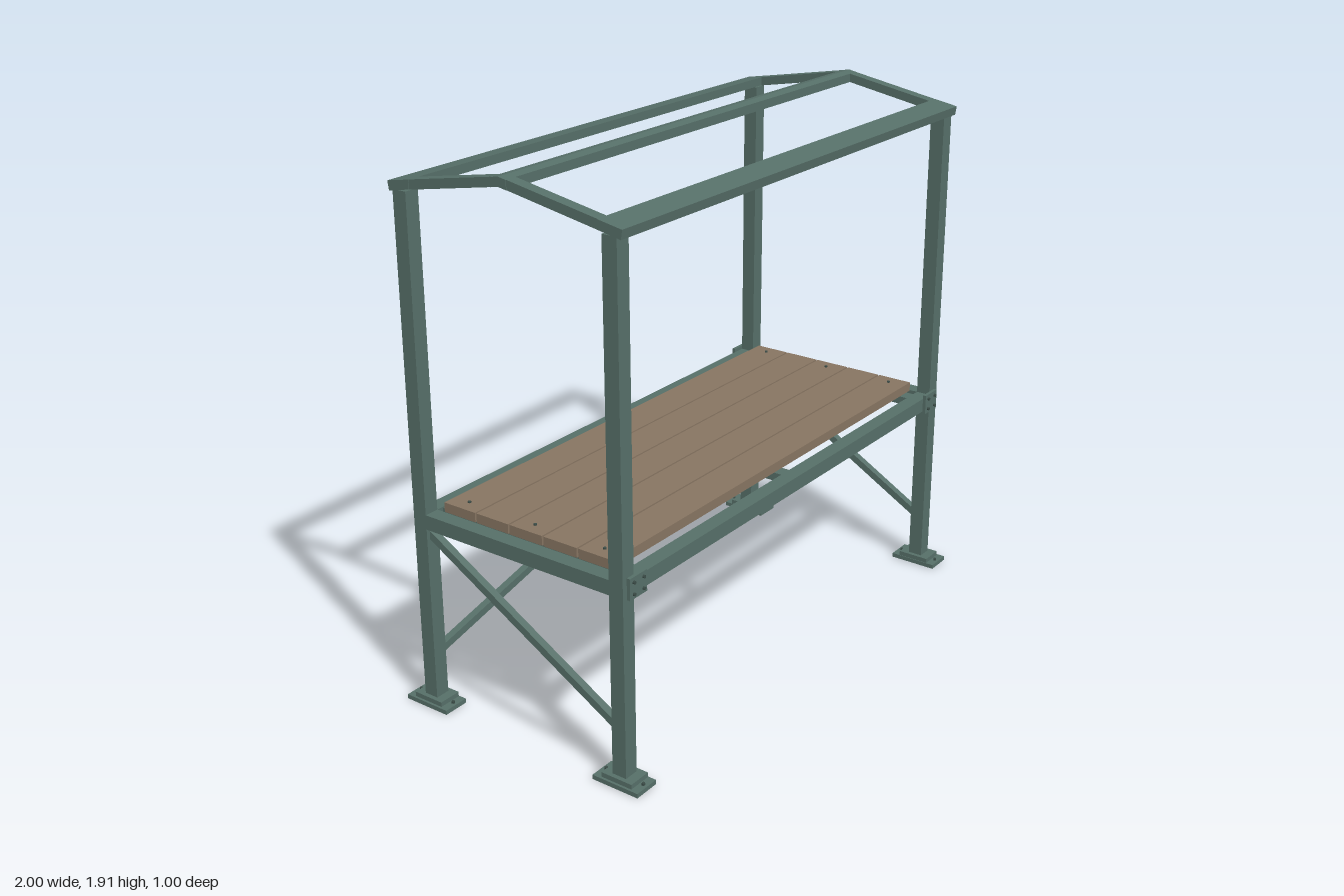
import * as THREE from 'three';

const green = new THREE.MeshStandardMaterial({ color: 0x566f68 });
green.name = 'green steel';
const wood = new THREE.MeshStandardMaterial({ color: 0x867461 });
wood.name = 'weathered wood';
const dark = new THREE.MeshStandardMaterial({ color: 0x3c4d48 });
dark.name = 'dark bolts';

const POST_X = 0.948, POST_Z = 0.408, POST = 0.054;

export function createModel() {
  const model = new THREE.Group();
  model.name = 'pottingBench';

  const add = (name, geometry, material, x = 0, y = 0, z = 0) => {
    const mesh = new THREE.Mesh(geometry, material);
    mesh.name = name;
    mesh.position.set(x, y, z);
    model.add(mesh);
    return mesh;
  };
  const box = (name, w, h, d, x, y, z, material = green) =>
    add(name, new THREE.BoxGeometry(w, h, d), material, x, y, z);

  // Square bar between two points
  const bar = (name, a, b, size) => {
    const from = new THREE.Vector3(...a), to = new THREE.Vector3(...b);
    const mesh = box(name, size, size, from.distanceTo(to), 0, 0, 0);
    mesh.position.copy(from).add(to).multiplyScalar(0.5);
    mesh.lookAt(to);
  };

  // Small hexagonal bolt head pointing up or along z
  const bolt = (name, x, y, z, alongZ = false) => {
    const mesh = add(name, new THREE.CylinderGeometry(0.006, 0.006, 0.008, 6), dark, x, y, z);
    if (alongZ) mesh.rotation.x = Math.PI / 2;
  };

  // Posts, feet and corner plates
  for (const sx of [-1, 1]) for (const sz of [-1, 1]) {
    const x = sx * POST_X, z = sz * POST_Z;
    box('post', POST, 1.785, POST, x, 0.9125, z);
    box('footPlate', 0.096, 0.016, 0.18, sx * 0.951, 0.008, z);
    box('footCollar', 0.085, 0.018, 0.12, x, 0.024, z);
    for (const d of [-0.075, 0.075]) bolt('footBolt', x, 0.02, z + d);
    box('cornerPlate', 0.085, 0.074, 0.012, sx * 0.913, 0.697, sz * 0.441);
    for (const dx of [-0.024, 0.024]) for (const dy of [-0.02, 0.02])
      bolt('cornerBolt', sx * 0.913 + dx, 0.697 + dy, sz * 0.45, true);
  }

  // Frame carrying the worktop
  for (const s of [-1, 1]) {
    box('longRail', 1.85, 0.052, POST, 0, 0.694, s * POST_Z);
    box('sideRail', POST, 0.052, 0.77, s * POST_X, 0.694, 0);
  }
  for (const x of [-0.87, 0, 0.87]) box('joist', 0.05, 0.03, 0.77, x, 0.703, 0);

  // Worktop planks and their fixings
  for (let i = -2; i <= 2; i++) {
    box('plank', 1.835, 0.034, 0.135, 0, 0.736, i * 0.1415, wood);
    if (i % 2 === 0) for (const x of [-0.87, 0.87]) bolt('plankBolt', x, 0.754, i * 0.1415);
  }

  // Diagonal braces: crossed at the back, single at each side
  for (const s of [-1, 1]) {
    bar('backBrace', [-s * 0.93, 0.194, -POST_Z + s * 0.004], [s * 0.93, 0.654, -POST_Z + s * 0.004], 0.027);
    bar('sideBrace', [s * POST_X, 0.199, 0.39], [s * POST_X, 0.648, -0.39], 0.027);
  }

  // Roof sections follow one slope: y = 1.91 - 0.178 |z|
  const roofY = z => 1.91 - 0.178 * Math.abs(z);
  const T = 0.031;
  const roofPiece = (name, outline, length, x) => {
    const shape = new THREE.Shape(outline.map(([z, y]) => new THREE.Vector2(-z, y)));
    const geometry = new THREE.ExtrudeGeometry(shape, { depth: length, bevelEnabled: false });
    geometry.translate(0, 0, -length / 2);
    geometry.rotateY(Math.PI / 2);
    add(name, geometry, green, x, 0, 0);
  };
  const slab = (z0, z1) => [[z0, roofY(z0)], [z1, roofY(z1)], [z1 - Math.sign(z1) * 0.005, roofY(z1) - T],
    [z0, roofY(z0) - T]];
  for (const s of [-1, 1]) {
    roofPiece('eave', slab(s * 0.365, s * 0.455), 1.95, 0);
    for (const sx of [-1, 1]) roofPiece('rafter', slab(s * 0.02, s * 0.37), 0.042, sx * 0.952);
  }
  const r = 0.03;
  roofPiece('ridge', [[-r, roofY(r)], [0, roofY(0)], [r, roofY(r)], [r, roofY(r) - T], [0, roofY(0) - T],
    [-r, roofY(r) - T]], 1.95, 0);

  return model;
}
